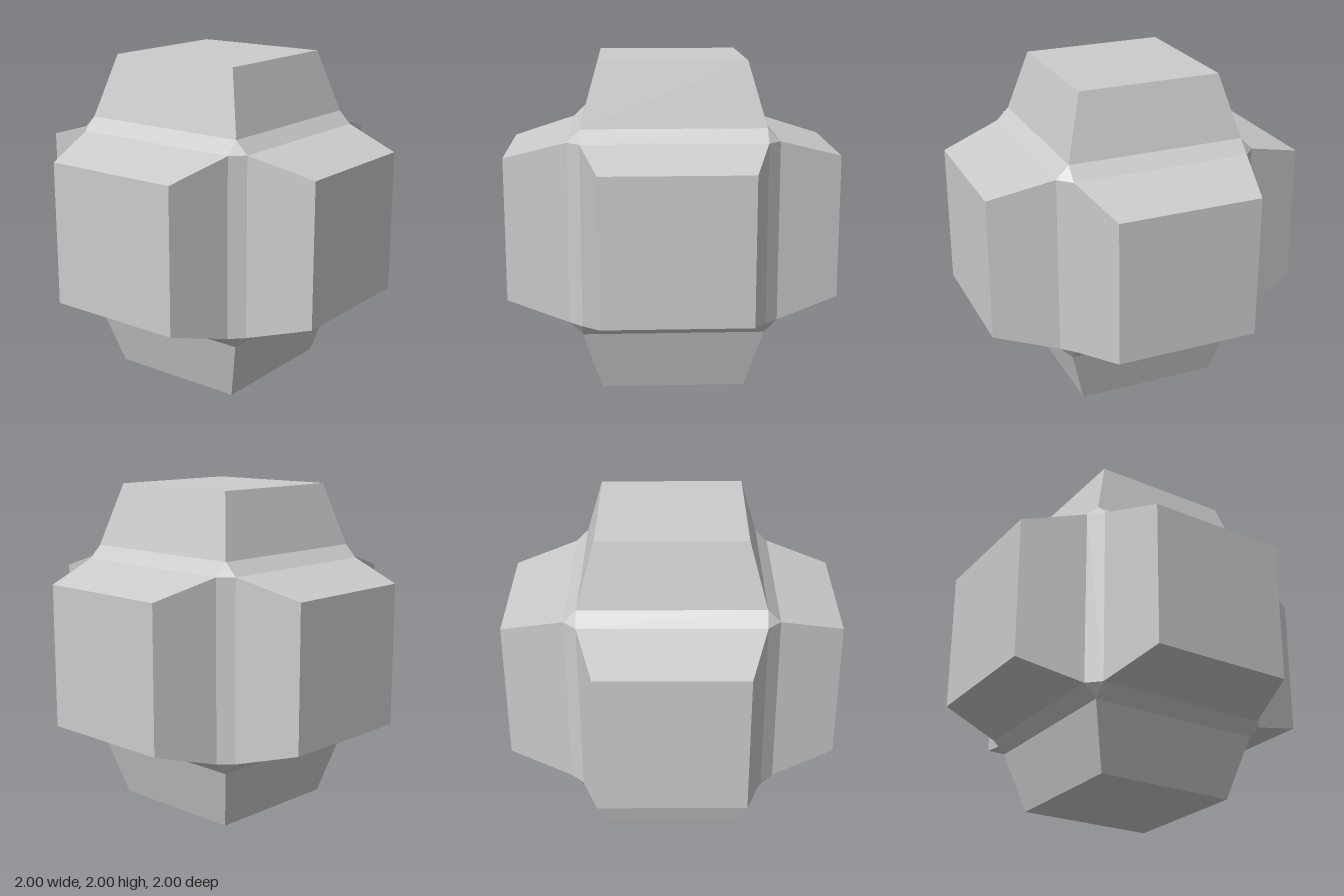
import * as THREE from 'three';
import { mergeGeometries } from 'three/addons/utils/BufferGeometryUtils.js';

const TIP = 0.435;   // half width of an arm's outer face
const ROOT = 0.543;  // half width of an arm where it meets the core
const CORE = 0.62;   // distance from the centre to an arm's root
const END = 1;       // distance from the centre to an arm's outer face

const material = new THREE.MeshStandardMaterial({ color: 0xcccccc, flatShading: true });

function flat(geometry) {
  const g = geometry.index ? geometry.toNonIndexed() : geometry;
  g.computeVertexNormals();
  return g;
}

// Tapered square arm pointing up, open at its root
function armGeometry() {
  const h = END - CORE;
  const sides = new THREE.CylinderGeometry(TIP * Math.SQRT2, ROOT * Math.SQRT2, h, 4, 1, true)
    .rotateY(Math.PI / 4).translate(0, CORE + h / 2, 0);
  const cap = new THREE.PlaneGeometry(2 * TIP, 2 * TIP).rotateX(-Math.PI / 2).translate(0, END, 0);
  return flat(mergeGeometries([sides, cap]));
}

// Narrow strip joining the roots of the top and front arms
function bevelGeometry() {
  const mid = (ROOT + CORE) / 2;
  return flat(new THREE.PlaneGeometry(2 * ROOT, (CORE - ROOT) * Math.SQRT2)
    .rotateX(-Math.PI / 4).translate(0, mid, mid));
}

// Small triangle closing one corner between three arms
function cornerGeometry(sx, sy, sz) {
  const points = [[CORE, ROOT, ROOT], [ROOT, CORE, ROOT], [ROOT, ROOT, CORE]]
    .map(([x, y, z]) => new THREE.Vector3(x * sx, y * sy, z * sz));
  if (sx * sy * sz < 0) points.reverse();
  return flat(new THREE.BufferGeometry().setFromPoints(points));
}

export function createModel() {
  const group = new THREE.Group();
  const body = new THREE.Group();
  body.name = 'body';
  body.position.y = 1;
  group.add(body);

  const add = (name, geometry) => {
    const mesh = new THREE.Mesh(geometry, material);
    mesh.name = name;
    body.add(mesh);
  };
  const q = Math.PI / 2;

  // Six arms
  ['topArm', 'frontArm', 'bottomArm', 'backArm'].forEach((name, i) => add(name, armGeometry().rotateX(i * q)));
  add('leftArm', armGeometry().rotateZ(-q));
  add('rightArm', armGeometry().rotateZ(q));

  // Twelve bevel strips, four around each axis
  for (let i = 0; i < 4; i++) {
    add('bevelAlongX', bevelGeometry().rotateX(i * q));
    add('bevelAlongY', bevelGeometry().rotateX(i * q).rotateZ(q));
    add('bevelAlongZ', bevelGeometry().rotateX(i * q).rotateY(q));
  }

  // Eight corner triangles
  for (const sx of [-1, 1]) for (const sy of [-1, 1]) for (const sz of [-1, 1]) {
    add('cornerFacet', cornerGeometry(sx, sy, sz));
  }
  return group;
}
